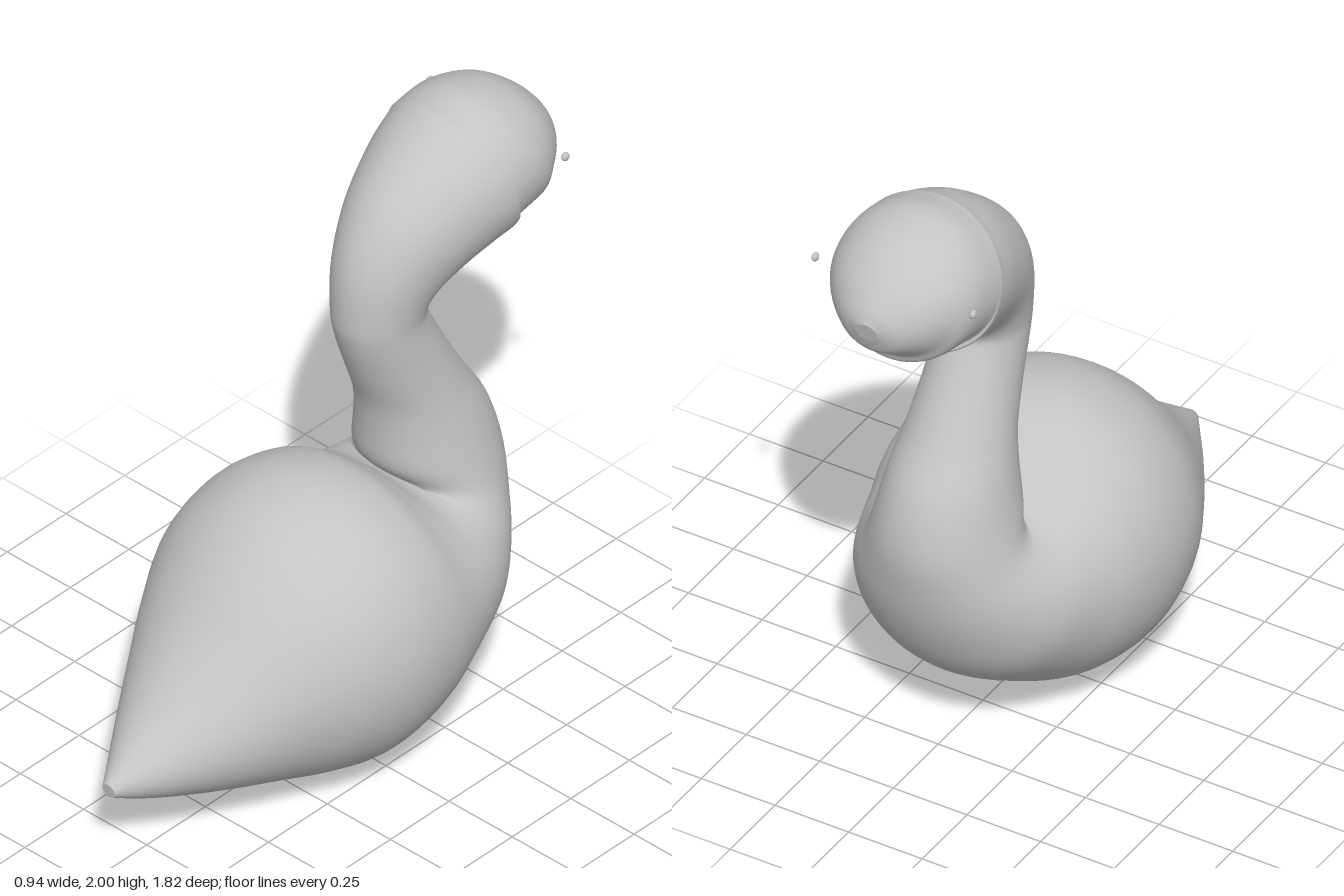
import * as THREE from 'three';

// Cross-sections from tail to face: upper z, y, lower z, y, half width
const SECTIONS = [
  [0.915, 0.31, 0.91, 0.265, 0.024],
  [0.82, 0.385, 0.82, 0.22, 0.088],
  [0.7, 0.485, 0.7, 0.175, 0.17],
  [0.55, 0.635, 0.55, 0.125, 0.265],
  [0.4, 0.8, 0.4, 0.08, 0.355],
  [0.25, 0.91, 0.23, 0.03, 0.437],
  [0.07, 0.955, 0.07, 0, 0.47],
  [-0.08, 0.93, -0.12, 0.035, 0.453],
  [-0.17, 0.87, -0.3, 0.13, 0.41],
  [-0.23, 0.82, -0.5, 0.28, 0.36],
  [-0.27, 0.8, -0.61, 0.47, 0.3],
  [-0.26, 0.8, -0.66, 0.66, 0.245],
  [-0.22, 0.86, -0.667, 0.8, 0.215],
  [-0.21, 0.98, -0.625, 0.95, 0.185],
  [-0.195, 1.08, -0.54, 1.09, 0.16],
  [-0.15, 1.2, -0.46, 1.235, 0.143],
  [-0.105, 1.33, -0.4, 1.355, 0.135],
  [-0.09, 1.43, -0.387, 1.4, 0.137],
  [-0.11, 1.6, -0.42, 1.435, 0.157],
  [-0.2, 1.77, -0.5, 1.475, 0.195],
  [-0.35, 1.905, -0.59, 1.505, 0.232],
  [-0.47, 1.97, -0.64, 1.52, 0.25],
  [-0.5, 1.98, -0.645, 1.55, 0.25],
  [-0.6, 2.0, -0.77, 1.57, 0.24],
  [-0.73, 1.97, -0.795, 1.605, 0.207],
  [-0.82, 1.905, -0.835, 1.635, 0.157],
  [-0.885, 1.825, -0.872, 1.662, 0.095],
  [-0.908, 1.775, -0.893, 1.71, 0.038],
];
const SIDES = 64;
const STEPS = 5;

const spline = (points) => new THREE.CatmullRomCurve3(points, false, 'catmullrom', 0.5);

function makeRings() {
  const upper = spline(SECTIONS.map((s) => new THREE.Vector3(s[4], s[1], s[0])));
  const lower = spline(SECTIONS.map((s) => new THREE.Vector3(s[4], s[3], s[2])));
  const count = (SECTIONS.length - 1) * STEPS;
  const rings = [];
  for (let i = 0; i <= count; i++) {
    const u = upper.getPoint(i / count);
    const l = lower.getPoint(i / count);
    const ring = [];
    for (let j = 0; j < SIDES; j++) {
      const a = (j / SIDES) * Math.PI * 2;
      const k = (1 + Math.cos(a)) / 2;
      ring.push(Math.sin(a) * u.x, l.y + (u.y - l.y) * k, l.z + (u.z - l.z) * k);
    }
    rings.push(ring);
  }
  return rings;
}

function build(positions, index) {
  const geo = new THREE.BufferGeometry();
  geo.setAttribute('position', new THREE.Float32BufferAttribute(positions, 3));
  geo.setIndex(index);
  geo.computeVertexNormals();
  return geo;
}

function skin(rings) {
  const index = [];
  for (let i = 0; i < rings.length - 1; i++) {
    for (let j = 0; j < SIDES; j++) {
      const k = (j + 1) % SIDES;
      const a = i * SIDES + j, b = i * SIDES + k;
      index.push(a, b, a + SIDES, b, b + SIDES, a + SIDES);
    }
  }
  return build(rings.flat(), index);
}

// Flat end closing one ring
function cap(ring, flip) {
  const index = [];
  for (let j = 1; j < SIDES - 1; j++) {
    index.push(0, flip ? j + 1 : j, flip ? j : j + 1);
  }
  return build(ring, index);
}

export function createModel() {
  const group = new THREE.Group();
  const grey = new THREE.MeshStandardMaterial({ color: 0xc4c4c4, side: THREE.DoubleSide });
  grey.name = 'plain grey';

  const add = (name, geometry) => {
    const mesh = new THREE.Mesh(geometry, grey);
    mesh.name = name;
    group.add(mesh);
    return mesh;
  };

  // One continuous skin for tail, body, neck and head
  const rings = makeRings();
  add('bodyNeckAndHead', skin(rings));
  add('tailTip', cap(rings[0], true));
  add('faceTip', cap(rings[rings.length - 1], false));

  // Small beads standing just off the sides of the head
  for (const side of [1, -1]) {
    const eye = add(side > 0 ? 'leftEye' : 'rightEye', new THREE.SphereGeometry(0.014, 16, 12));
    eye.scale.x = 0.75;
    eye.position.set(side * 0.268, 1.815, -0.745);
  }
  return group;
}
